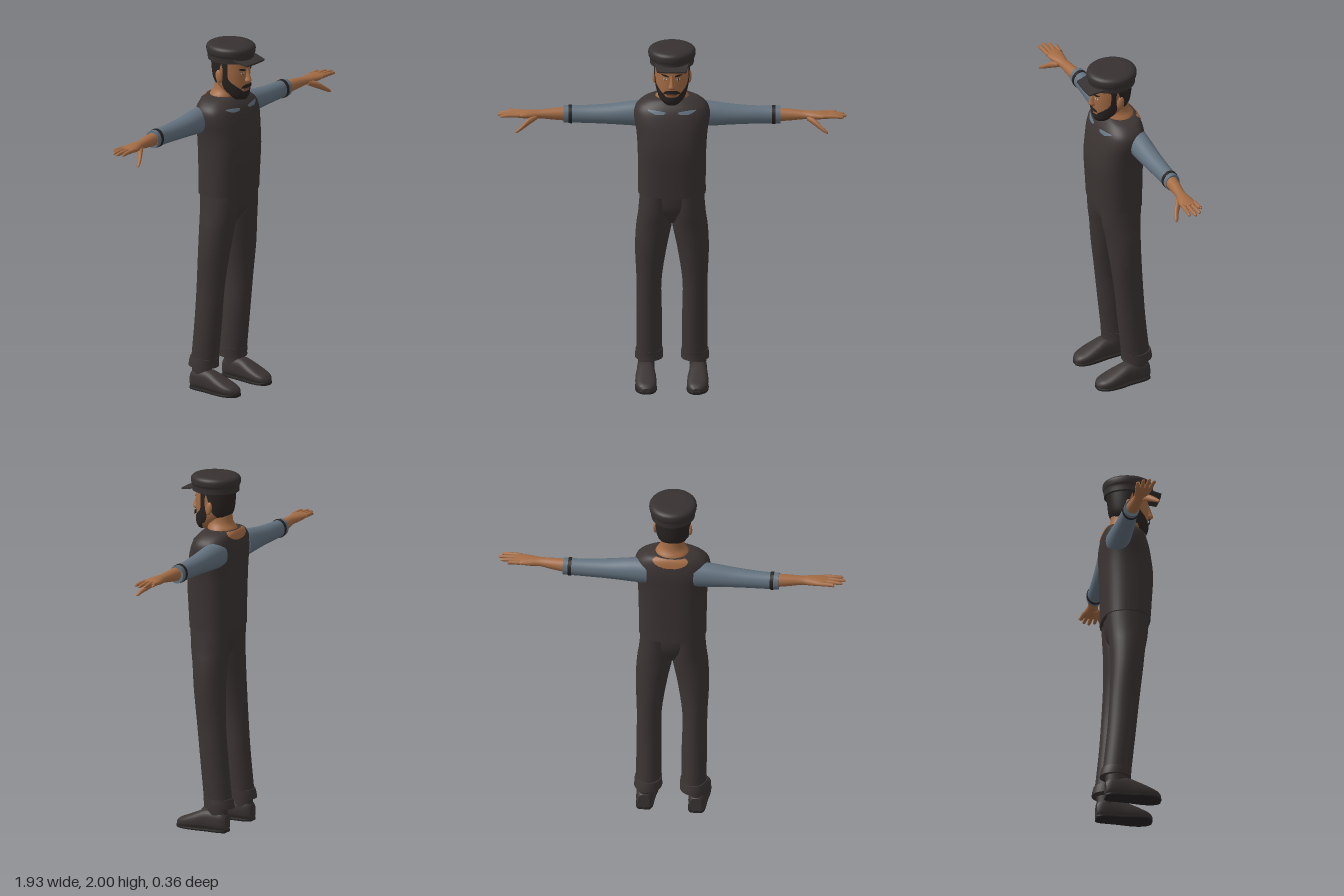
import * as THREE from 'three';

const mat = (name, color, double) => {
  const m = new THREE.MeshStandardMaterial({ color });
  m.name = name;
  if (double) m.side = THREE.DoubleSide;
  return m;
};

// Smooth a short list of sections [t, u, v, ru, rv] with a Catmull-Rom rule
function refine(rows, steps = 4) {
  const out = [];
  const at = (i) => rows[Math.max(0, Math.min(rows.length - 1, i))];
  for (let i = 0; i < rows.length - 1; i++) {
    for (let s = 0; s < steps; s++) {
      const k = s / steps;
      out.push(rows[i].map((_, j) => {
        const [a, b, c, d] = [at(i - 1)[j], at(i)[j], at(i + 1)[j], at(i + 2)[j]];
        return b + 0.5 * k * (c - a + k * (2 * a - 5 * b + 4 * c - d + k * (3 * (b - c) + d - a)));
      }));
    }
  }
  out.push(rows[rows.length - 1]);
  return out;
}

// Where (u, v, t) land for lofts running along each axis
const AXES = {
  x: (u, v, t) => [t, u, v],
  y: (u, v, t) => [u, t, v],
  z: (u, v, t) => [u, v, t],
};

// Loft superellipse sections; columns 5 and 6 optionally give an angle range
function loft(rows, { axis = 'y', side = 1, power = 2, seg = 28, cap = true } = {}) {
  const pos = [], idx = [];
  const open = rows[0].length > 5;
  const cols = open ? seg + 1 : seg;
  const flip = (axis === 'y') !== (side < 0);
  const tri = (a, b, c) => (flip ? idx.push(a, c, b) : idx.push(a, b, c));
  const put = (u, v, t) => {
    const p = AXES[axis](u, v, t);
    pos.push(p[0] * side, p[1], p[2]);
  };
  const bend = (n) => Math.sign(n) * Math.pow(Math.abs(n), 2 / power);
  const ring = ([t, u, v, ru, rv, a0 = 0, a1 = Math.PI * 2]) => {
    for (let j = 0; j < cols; j++) {
      const a = a0 + (a1 - a0) * j / seg;
      put(u + ru * bend(Math.cos(a)), v + rv * bend(Math.sin(a)), t);
    }
  };
  rows.forEach(ring);
  for (let i = 0; i < rows.length - 1; i++) {
    for (let j = 0; j < seg; j++) {
      const a = i * cols + j, b = i * cols + (j + 1) % cols;
      tri(a, b, b + cols);
      tri(a, b + cols, a + cols);
    }
  }
  if (cap && !open) {
    [rows[0], rows[rows.length - 1]].forEach((row, end) => {
      const first = pos.length / 3;
      ring(row);
      put(row[1], row[2], row[0]);
      for (let j = 0; j < seg; j++) {
        const a = first + j, b = first + (j + 1) % seg;
        if (end) tri(a, b, first + seg); else tri(b, a, first + seg);
      }
    });
  }
  const g = new THREE.BufferGeometry();
  g.setAttribute('position', new THREE.Float32BufferAttribute(pos, 3));
  g.setIndex(idx);
  g.computeVertexNormals();
  return g;
}

// Thin patch over a lofted body: spans are [height, startAngle, endAngle]
function patch(body, spans, lift, opts = {}) {
  const rows = refine(spans, 5).map(([y, a0, a1]) => {
    let i = 0;
    while (i < body.length - 2 && body[i + 1][0] < y) i++;
    const k = (y - body[i][0]) / (body[i + 1][0] - body[i][0]);
    const r = body[i].map((n, j) => n + (body[i + 1][j] - n) * k);
    return [y, r[1], r[2], r[3] + lift, r[4] + lift, a0, a1];
  });
  return loft(rows, opts);
}

export function createModel() {
  const model = new THREE.Group();
  model.name = 'standingMan';
  const skin = mat('skin', 0xa46c45, true);
  const cloth = mat('darkCloth', 0x3b3433);
  const capCloth = mat('capCloth', 0x373131);
  const shirt = mat('shirtBlue', 0x63727f, true);
  const leather = mat('shoeLeather', 0x3a3433);
  const dark = mat('soleDark', 0x262222);
  const hair = mat('hair', 0x282321, true);
  const white = mat('eyeWhite', 0xc9c0b6, true);
  const lip = mat('lip', 0x7d4a38, true);
  const PI = Math.PI;

  const add = (name, geometry, material) => {
    const m = new THREE.Mesh(geometry, material);
    m.name = name;
    model.add(m);
    return m;
  };

  // Vest, pelvis and neck
  const vest = refine([
    [1.14, 0, -0.015, 0.187, 0.135], [1.25, 0, -0.012, 0.187, 0.139],
    [1.4, 0, -0.01, 0.19, 0.145], [1.5, 0, -0.016, 0.197, 0.141],
    [1.58, 0, -0.025, 0.21, 0.133], [1.64, 0, -0.032, 0.2, 0.118],
    [1.68, 0, -0.042, 0.152, 0.098], [1.695, 0, -0.045, 0.1, 0.084]]);
  add('vest', loft(vest, { power: 2.5, seg: 40 }), cloth);
  add('pelvis', loft(refine([
    [0.97, 0, -0.02, 0.04, 0.06], [1.04, 0, -0.015, 0.15, 0.1],
    [1.1, 0, -0.015, 0.17, 0.115], [1.18, 0, -0.015, 0.17, 0.12]])), cloth);
  add('neck', loft(refine([
    [1.66, 0, -0.044, 0.1, 0.085], [1.695, 0, -0.042, 0.092, 0.08],
    [1.735, 0, -0.03, 0.068, 0.07], [1.82, 0, -0.02, 0.062, 0.075]])), skin);
  add('napeSkin', patch(vest, [[1.645, 1.47 * PI, 1.53 * PI], [1.662, 1.38 * PI, 1.62 * PI],
    [1.695, 1.25 * PI, 1.75 * PI]], 0.004, { power: 2.5 }), skin);

  // Head with cap-covered crown
  const head = refine([
    [1.685, 0, 0.06, 0.03, 0.035], [1.71, 0, 0.05, 0.058, 0.056],
    [1.75, 0, 0.022, 0.078, 0.088], [1.79, 0, 0.008, 0.087, 0.106],
    [1.85, 0, 0.004, 0.093, 0.112], [1.93, 0, 0, 0.095, 0.114]]);
  add('head', loft(head), skin);
  add('backHair', patch(head, [[1.765, 1.2 * PI, 1.8 * PI], [1.8, 1.08 * PI, 1.92 * PI],
    [1.86, 1.02 * PI, 1.98 * PI], [1.925, 0.95 * PI, 2.05 * PI]], 0.005), hair);
  add('chinBeard', patch(head, [[1.685, 0, PI], [1.705, 0, PI], [1.725, 0.05, PI - 0.05],
    [1.738, 0.1, PI - 0.1]], 0.007), hair);
  add('moustache', patch(head, [[1.757, 1.05, PI - 1.05], [1.768, 1.1, PI - 1.1],
    [1.779, 1.3, PI - 1.3]], 0.012), hair);
  add('mouth', patch(head, [[1.743, 1.25, PI - 1.25], [1.755, 1.25, PI - 1.25]], 0.006), lip);
  add('nose', loft(refine([
    [1.785, 0, 0.116, 0.012, 0.012], [1.798, 0, 0.118, 0.019, 0.024],
    [1.82, 0, 0.114, 0.012, 0.022], [1.865, 0, 0.108, 0.008, 0.012]]), { seg: 14 }), skin);

  // Flat cap with a short drooping visor
  add('cap', loft(refine([
    [1.905, 0, 0, 0.121, 0.132], [1.935, 0, 0, 0.123, 0.134], [1.95, 0, 0, 0.13, 0.139],
    [1.978, 0, 0, 0.13, 0.139], [1.994, 0, 0, 0.112, 0.12], [2, 0, 0, 0.075, 0.08]]),
    { seg: 40 }), capCloth);
  const brim = new THREE.Shape();
  brim.moveTo(-0.095, -0.09);
  brim.lineTo(0.095, -0.09);
  brim.lineTo(0.08, -0.174);
  brim.quadraticCurveTo(0, -0.182, -0.08, -0.174);
  const visor = new THREE.ExtrudeGeometry(brim, { depth: 0.009, bevelEnabled: false });
  visor.rotateX(-PI / 2);
  const vp = visor.attributes.position;
  for (let i = 0; i < vp.count; i++) vp.setY(i, vp.getY(i) + 1.92 - (vp.getZ(i) - 0.09) * 0.2);
  visor.computeVertexNormals();
  add('visor', visor, capCloth);

  for (const side of [1, -1]) {
    const tag = side > 0 ? 'left' : 'right';
    const part = (name, rows, material, opts = {}) =>
      add(tag + name, loft(refine(rows), { side, ...opts }), material);
    const face = (name, spans, lift, material, body = head, power = 2) =>
      add(tag + name, patch(body, spans, lift, { side, power, seg: 12 }), material);

    // Facial details
    face('BeardSide', [[1.725, -0.05, 1.3], [1.75, -0.05, 1.05], [1.775, -0.02, 0.72],
      [1.81, 0.08, 0.4], [1.87, 0.12, 0.38], [1.92, 0, 0.42]], 0.006, hair);
    face('Eye', [[1.837, 1.14, 1.22], [1.843, 1.05, 1.3], [1.849, 1.12, 1.24]], 0.003, white);
    face('Pupil', [[1.837, 1.15, 1.21], [1.849, 1.15, 1.21]], 0.005, dark);
    face('Brow', [[1.858, 1.2, 1.38], [1.864, 1.0, 1.38], [1.871, 0.95, 1.25]], 0.005, hair);
    const ear = add(tag + 'Ear', new THREE.SphereGeometry(1, 14, 10), skin);
    ear.scale.set(0.012, 0.038, 0.021);
    ear.position.set(side * 0.096, 1.818, -0.008);
    ear.rotation.set(-0.15, side * -0.25, 0);

    // Shirt collar showing through the vest
    face('Collar', [[1.626, 1.2, 1.42], [1.64, 0.98, 1.45], [1.648, 0.9, 1.1]],
      0.004, shirt, vest, 2.5);

    // Sleeve, band, forearm and palm
    part('Sleeve', [
      [0.13, 1.575, -0.082, 0.075, 0.065], [0.22, 1.573, -0.08, 0.07, 0.061],
      [0.35, 1.568, -0.08, 0.057, 0.054], [0.5, 1.565, -0.083, 0.05, 0.045],
      [0.6, 1.565, -0.083, 0.05, 0.043]], shirt, { axis: 'x' });
    part('SleeveBand', [[0.553, 1.565, -0.083, 0.053, 0.047],
      [0.572, 1.565, -0.083, 0.053, 0.047]], dark, { axis: 'x' });
    part('ForearmAndPalm', [
      [0.58, 1.567, -0.08, 0.039, 0.037], [0.66, 1.569, -0.073, 0.032, 0.032],
      [0.73, 1.571, -0.066, 0.024, 0.029], [0.78, 1.571, -0.062, 0.024, 0.038],
      [0.83, 1.573, -0.06, 0.019, 0.046], [0.868, 1.575, -0.06, 0.011, 0.044]],
      skin, { axis: 'x' });

    // Fingers from little to index, then thumb
    [[-0.096, -0.106, 0.912], [-0.072, -0.078, 0.952],
      [-0.048, -0.048, 0.965], [-0.025, -0.018, 0.95]].forEach(([z0, z1, tip], i) => {
      part('Finger' + (i + 1), [
        [0.84, 1.575, z0, 0.012, 0.013], [0.9, 1.576, (z0 + z1) / 2, 0.011, 0.011],
        [tip - 0.01, 1.574, z1, 0.008, 0.009], [tip, 1.573, z1, 0.003, 0.004]],
        skin, { axis: 'x', seg: 10 });
    });
    part('Thumb', [
      [0.745, 1.562, -0.05, 0.016, 0.018], [0.79, 1.543, -0.02, 0.02, 0.018],
      [0.83, 1.516, 0.007, 0.014, 0.013], [0.855, 1.5, 0.018, 0.01, 0.01],
      [0.864, 1.494, 0.021, 0.003, 0.004]], skin, { axis: 'x', seg: 12 });

    // Trouser leg with turned-up cuff
    part('TrouserLeg', [
      [0.16, 0.126, -0.085, 0.07, 0.08], [0.4, 0.126, -0.06, 0.07, 0.08],
      [0.6, 0.127, -0.043, 0.069, 0.083], [0.8, 0.117, -0.027, 0.087, 0.09],
      [0.94, 0.1, -0.02, 0.098, 0.099], [1.03, 0.09, -0.015, 0.096, 0.11],
      [1.17, 0.083, -0.015, 0.092, 0.12]], cloth);
    part('TrouserCuff', [[0.135, 0.127, -0.092, 0.078, 0.088], [0.16, 0.127, -0.09, 0.077, 0.086],
      [0.187, 0.126, -0.085, 0.075, 0.084]], cloth);

    // Shoe with ankle and sole
    part('ShoeAnkle', [[0.05, 0.143, -0.09, 0.044, 0.06], [0.11, 0.143, -0.09, 0.046, 0.06],
      [0.17, 0.143, -0.09, 0.046, 0.06]], leather);
    const shoe = [
      [-0.152, 0.145, 0.05, 0.032, 0.046], [-0.12, 0.145, 0.062, 0.046, 0.058],
      [-0.03, 0.145, 0.063, 0.05, 0.059], [0.04, 0.144, 0.05, 0.058, 0.046],
      [0.1, 0.142, 0.037, 0.057, 0.033], [0.14, 0.14, 0.029, 0.043, 0.024],
      [0.16, 0.138, 0.022, 0.02, 0.012]];
    part('Shoe', shoe, leather, { axis: 'z', power: 2.6 });
    part('ShoeSole', shoe.map(([z, x, , rx]) => [z, x, 0.008, rx + 0.002, 0.008]), dark,
      { axis: 'z', power: 6 });
  }
  return model;
}
